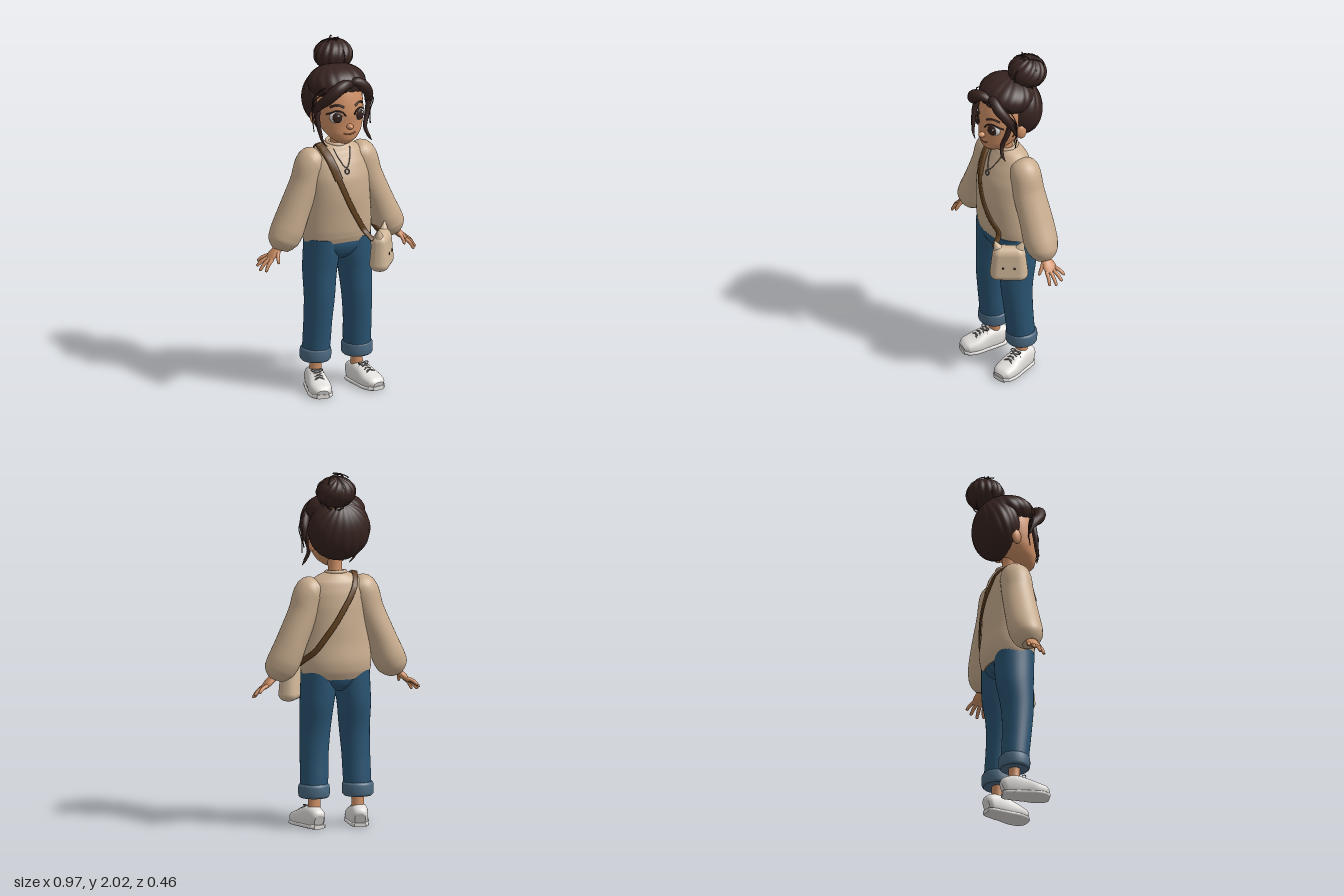
import * as THREE from 'three';
import { mergeVertices } from 'three/addons/utils/BufferGeometryUtils.js';
import { RoundedBoxGeometry } from 'three/addons/geometries/RoundedBoxGeometry.js';

const V = (x, y, z) => new THREE.Vector3(x, y, z);
const mat = (name, color) => Object.assign(new THREE.MeshStandardMaterial({ color }), { name });

// Smooth solid through stations [x, y, z, halfWidth, halfDepth]; flat keeps the rings level.
function loft(st, { n = 24, ref = V(0, 0, 1), flat = false, p = 1, sub = 5 } = {}) {
  const path = new THREE.CatmullRomCurve3(st.map(s => V(s[0], s[1], s[2])));
  const radii = new THREE.CatmullRomCurve3(st.map(s => V(s[3], s[4], 0)));
  const pw = c => Math.sign(c) * Math.abs(c) ** p;
  const pos = [], idx = [], steps = (st.length - 1) * sub;
  const rows = [[0, 0], [0, 1]];
  for (let j = 0; j <= steps; j++) rows.push([j / steps, 1]);
  rows.push([1, 1], [1, 0]);
  for (const [k, scale] of rows) {
    const c = path.getPoint(k), r = radii.getPoint(k);
    const t = flat ? V(0, Math.sign(st[st.length - 1][1] - st[0][1]), 0) : path.getTangent(k);
    const u = V().crossVectors(typeof ref === 'function' ? ref(c) : ref, t).normalize();
    const w = V().crossVectors(t, u);
    for (let i = 0; i < n; i++) {
      const a = i / n * Math.PI * 2;
      const q = c.clone().addScaledVector(u, pw(Math.cos(a)) * Math.max(r.x, 0.001) * scale)
        .addScaledVector(w, pw(Math.sin(a)) * Math.max(r.y, 0.001) * scale);
      pos.push(q.x, q.y, q.z);
    }
  }
  for (let j = 0; j < rows.length - 1; j++) for (let i = 0; i < n; i++) {
    const a = j * n + i, b = j * n + (i + 1) % n;
    idx.push(a, b, a + n, b, b + n, a + n);
  }
  const g = new THREE.BufferGeometry();
  g.setAttribute('position', new THREE.Float32BufferAttribute(pos, 3));
  g.setIndex(idx);
  g.computeVertexNormals();
  return g;
}

// Move every vertex by a rule
function warp(g, rule) {
  const a = g.attributes.position, v = V();
  for (let i = 0; i < a.count; i++) { rule(v.fromBufferAttribute(a, i)); a.setXYZ(i, v.x, v.y, v.z); }
  g.computeVertexNormals();
  return g;
}

// Ball of combed hair with strand ridges running to its pole
function hairBall(k, amp, twist, tilt, rx, ry, rz) {
  let g = new THREE.SphereGeometry(1, 96, 40);
  g.deleteAttribute('uv'); g.deleteAttribute('normal');
  g = mergeVertices(g);
  warp(g, v => v.multiplyScalar(1 + amp * (Math.abs(Math.sin(k * Math.atan2(v.z, v.x) + twist * v.y)) - 0.8)
    * Math.sqrt(Math.max(0, 1 - v.y * v.y))));
  g.rotateX(tilt).scale(rx, ry, rz);
  g.computeVertexNormals();
  return g;
}

// Point on the front (side 1) or back (side -1) of a level loft
function surf(st, x, y, side = 1, off = 0) {
  let i = 0;
  while (i < st.length - 2 && st[i + 1][1] < y) i++;
  const k = (y - st[i][1]) / (st[i + 1][1] - st[i][1]);
  const [z, a, b] = [2, 3, 4].map(m => THREE.MathUtils.lerp(st[i][m], st[i + 1][m], k));
  return V(x, y, z + side * (b * Math.sqrt(Math.max(0, 1 - (x / a) ** 2)) + off));
}

const tube = (pts, r) => new THREE.TubeGeometry(new THREE.CatmullRomCurve3(pts), 24, r, 6);
const mir = (st, s) => st.map(([x, ...r]) => [x * s, ...r]);

export function createModel() {
  const root = new THREE.Group();
  const hair = mat('dark hair', 0x36231f), skin = mat('skin', 0xcf9066), knit = mat('knit', 0xc9ad8f);
  const denim = mat('denim', 0x2a5472), cuffMat = mat('denim inside', 0x4b6981), leather = mat('leather', 0x60401f);
  const white = mat('white', 0xe2dfdc), canvas = mat('canvas', 0xd0b799), grey = mat('grey', 0x77736f), lip = mat('lips', 0xa5604b);
  const add = (name, geo, m, parent = root) => {
    const o = new THREE.Mesh(geo, m);
    o.name = name; parent.add(o);
    return o;
  };
  const ball = (name, m, p, s, parent) => {
    const o = add(name, new THREE.SphereGeometry(1, 24, 16), m, parent);
    o.position.set(...p); o.scale.set(...s);
    return o;
  };

  // Head and neck
  const head = [[0, 1.462, 0.085, 0.03, 0.035], [0, 1.49, 0.075, 0.073, 0.072], [0, 1.53, 0.055, 0.108, 0.1],
    [0, 1.58, 0.03, 0.128, 0.125], [0, 1.64, 0.02, 0.135, 0.14], [0, 1.7, 0.005, 0.136, 0.15],
    [0, 1.78, 0, 0.12, 0.134], [0, 1.84, -0.01, 0.06, 0.08]];
  add('head', loft(head, { flat: true, n: 40 }), skin);
  add('neck', loft([[0, 1.38, -0.01, 0.048, 0.045], [0, 1.45, 0, 0.039, 0.038], [0, 1.54, 0.01, 0.045, 0.045]], { flat: true }), skin);
  ball('nose', skin, [0, 1.575, 0.157], [0.019, 0.016, 0.027]);
  const onFace = (x, y, off = 0.002) => surf(head, x, y, 1, off);
  add('mouth', tube([[-0.036, 1.537], [-0.015, 1.53], [0.015, 1.53], [0.036, 1.537]].map(p => onFace(...p)), 0.0035), lip);
  for (const s of [-1, 1]) {
    ball('ear', skin, [0.14 * s, 1.6, -0.008], [0.018, 0.042, 0.03]).rotation.y = -0.3 * s;
    add('eyebrow', tube([[0.032, 1.69], [0.065, 1.703], [0.1, 1.69]].map(([x, y]) => onFace(x * s, y)), 0.006), hair);
    add('eyelash', tube([[0.026, 1.64], [0.045, 1.664], [0.075, 1.669], [0.1, 1.655], [0.116, 1.645]]
      .map(([x, y]) => onFace(x * s, y, 0.004)), 0.0045), hair);
    const eye = new THREE.Group();
    eye.name = 'eye';
    eye.position.copy(onFace(0.068 * s, 1.632, -0.009));
    eye.rotation.y = 0.38 * s;
    root.add(eye);
    ball('eyeWhite', white, [0, 0, 0], [0.042, 0.035, 0.017], eye);
    ball('iris', hair, [-0.003 * s, 0, 0.012], [0.028, 0.031, 0.009], eye);
    ball('eyeGlint', white, [0.008, 0.012, 0.019], [0.006, 0.006, 0.003], eye);
  }

  // Hair: back, crown, bun, fringe and loose strands
  add('backHair', hairBall(9, 0.035, 0, -0.5, 0.178, 0.177, 0.132), hair).position.set(0, 1.69, -0.073);
  add('crownHair', hairBall(8, 0.03, 0, -0.4, 0.166, 0.1, 0.151), hair).position.set(0, 1.79, -0.01);
  add('bun', hairBall(7, 0.09, 2.2, -0.35, 0.112, 0.089, 0.106), hair).position.set(0.035, 1.909, -0.127);
  const tie = add('hairTie', new THREE.TorusGeometry(0.058, 0.012, 8, 28), leather);
  tie.position.set(0.025, 1.84, -0.1); tie.rotation.x = Math.PI / 2 - 0.5;
  for (let i = 0; i < 7; i++) {
    const loop = add('bunStrand', new THREE.TorusGeometry(0.099, 0.0035, 5, 32, 3.6), hair);
    loop.position.set(0.035, 1.909, -0.126);
    loop.scale.set(1.07, 0.86, 1.02);
    loop.rotation.set(0.4 * Math.sin(i * 2.3), i * 0.9, i * 0.25);
  }
  const fringe = {
    rightFringe: [[0.035, 1.795, 0.115, 0.014, 0.014], [-0.015, 1.82, 0.145, 0.028, 0.03], [-0.075, 1.795, 0.155, 0.036, 0.034],
      [-0.125, 1.74, 0.13, 0.032, 0.03], [-0.16, 1.69, 0.085, 0.022, 0.026], [-0.17, 1.62, 0.06, 0.005, 0.006]],
    leftFringe: [[0.015, 1.8, 0.115, 0.014, 0.014], [0.055, 1.82, 0.125, 0.026, 0.026], [0.105, 1.785, 0.125, 0.032, 0.03],
      [0.142, 1.735, 0.1, 0.028, 0.028], [0.16, 1.68, 0.065, 0.02, 0.024], [0.165, 1.61, 0.045, 0.005, 0.006]],
    rightStrand: [[-0.155, 1.7, 0.08, 0.014, 0.018], [-0.167, 1.62, 0.09, 0.014, 0.016], [-0.157, 1.54, 0.105, 0.011, 0.012],
      [-0.145, 1.49, 0.115, 0.006, 0.007], [-0.12, 1.462, 0.12, 0.002, 0.002]],
    leftStrand: [[0.155, 1.7, 0.08, 0.014, 0.018], [0.14, 1.62, 0.09, 0.014, 0.016], [0.118, 1.54, 0.11, 0.011, 0.012],
      [0.135, 1.49, 0.12, 0.009, 0.01], [0.155, 1.46, 0.115, 0.002, 0.002]],
  };
  for (const [name, st] of Object.entries(fringe)) add(name, loft(st, { n: 14 }), hair);
  for (const s of [-1, 1]) for (let i = 0; i < 3; i++)
    add('looseWisp', tube([V(s * 0.12, 1.8 - i * 0.03, 0.09), V(s * (0.175 + i * 0.006), 1.75 - i * 0.03, 0.07),
      V(s * 0.178, 1.67 - i * 0.03, 0.05), V(s * (0.15 + i * 0.012), 1.6 - i * 0.03, 0.06)], 0.003), hair);

  // Jumper
  const torso = [[0, 0.845, -0.005, 0.185, 0.125], [0, 0.89, -0.01, 0.2, 0.14], [0, 0.95, -0.01, 0.203, 0.147],
    [0, 1.05, -0.002, 0.195, 0.145], [0, 1.15, 0.002, 0.186, 0.145], [0, 1.25, 0, 0.184, 0.136],
    [0, 1.33, -0.01, 0.175, 0.115], [0, 1.39, -0.018, 0.15, 0.09], [0, 1.42, -0.018, 0.105, 0.073], [0, 1.44, -0.015, 0.06, 0.056]];
  add('jumperBody', warp(loft(torso, { flat: true, n: 48 }), v => {
    if (v.y < 0.95 && v.z > 0) v.y += 0.035 * (1 - (v.x / 0.21) ** 2) * (0.95 - v.y) / 0.1;
  }), knit);
  const collar = add('collar', new THREE.TorusGeometry(0.054, 0.011, 10, 36), knit);
  collar.rotation.x = Math.PI / 2 + 0.1; collar.position.set(0, 1.438, -0.013);

  // Sleeves and hands
  for (const s of [-1, 1]) {
    add('sleeve', loft(mir([[0.1, 1.36, -0.02, 0.05, 0.065], [0.15, 1.335, -0.02, 0.088, 0.088], [0.19, 1.22, -0.02, 0.085, 0.092],
      [0.255, 1.07, -0.022, 0.085, 0.097], [0.3, 0.96, -0.02, 0.092, 0.098], [0.33, 0.9, -0.015, 0.087, 0.085],
      [0.343, 0.868, -0.012, 0.066, 0.064], [0.35, 0.85, -0.01, 0.044, 0.044]], s), { n: 32 }), knit);
    add('palm', loft(mir([[0.34, 0.89, -0.01, 0.028, 0.028], [0.368, 0.855, -0.01, 0.022, 0.033],
      [0.398, 0.826, -0.012, 0.018, 0.041], [0.422, 0.803, -0.012, 0.011, 0.036]], s), { n: 18 }), skin);
    const fingers = [[0.41, 0.81, 0.018, 0.456, 0.75, 0.03], [0.413, 0.812, -0.002, 0.478, 0.752, 0],
      [0.413, 0.813, -0.022, 0.479, 0.768, -0.035], [0.408, 0.818, -0.041, 0.46, 0.785, -0.066], [0.37, 0.85, 0.012, 0.39, 0.795, 0.052]];
    for (const [x, y, z, X, Y, Z] of fingers)
      add('finger', loft(mir([[x, y, z, 0.011, 0.011], [(x + X) / 2 + 0.004, (y + Y) / 2 + 0.005, (z + Z) / 2, 0.0105, 0.0105],
        [X, Y, Z, 0.008, 0.008], [X + 0.003, Y - 0.004, Z, 0.003, 0.003]], s), { n: 10, sub: 3 }), skin);
  }

  // Jeans, turn-ups and ankles
  add('hips', loft([[0, 0.93, -0.005, 0.18, 0.118], [0, 0.86, -0.005, 0.19, 0.121], [0, 0.81, -0.005, 0.15, 0.105],
    [0, 0.775, -0.005, 0.07, 0.07]], { flat: true, n: 36 }), denim);
  for (const s of [-1, 1]) {
    add('jeansLeg', loft(mir([[0.095, 0.9, -0.005, 0.1, 0.115], [0.1, 0.78, -0.006, 0.1, 0.112], [0.108, 0.7, -0.006, 0.095, 0.107],
      [0.115, 0.55, 0.006, 0.086, 0.092], [0.122, 0.4, 0, 0.08, 0.083], [0.125, 0.28, -0.01, 0.079, 0.08],
      [0.128, 0.2, -0.015, 0.076, 0.078]], s), { flat: true, n: 32 }), denim);
    add('turnUp', loft(mir([[0.128, 0.172, -0.017, 0.078, 0.078], [0.128, 0.183, -0.017, 0.087, 0.087], [0.128, 0.21, -0.017, 0.089, 0.089],
      [0.128, 0.238, -0.017, 0.087, 0.087], [0.128, 0.25, -0.016, 0.078, 0.078]], s), { flat: true, n: 32 }), cuffMat);
    add('ankle', loft(mir([[0.125, 0.2, -0.015, 0.037, 0.034], [0.127, 0.14, -0.018, 0.035, 0.031],
      [0.132, 0.07, -0.02, 0.038, 0.036]], s), { flat: true }), skin);

    // Shoes
    const shoe = new THREE.Group();
    shoe.name = 'shoe';
    shoe.position.set(0.137 * s, 0, 0); shoe.rotation.y = 0.2 * s;
    root.add(shoe);
    const last = [[0, 0.045, -0.088, 0.03, 0.035], [0, 0.052, -0.07, 0.046, 0.058], [0, 0.058, -0.02, 0.053, 0.068],
      [0, 0.05, 0.04, 0.058, 0.062], [0, 0.04, 0.1, 0.065, 0.048], [0, 0.033, 0.15, 0.057, 0.038], [0, 0.026, 0.174, 0.034, 0.022]];
    const along = { ref: V(0, 1, 0), n: 28 };
    add('shoeUpper', warp(loft(last, { ...along, p: 0.8 }), v => { v.y = Math.max(v.y, 0.004); }), white, shoe);
    add('sole', loft(last.map(([x, , z, a]) => [x, 0.012, z * 1.02, a * 1.08, 0.012]), { ...along, p: 0.5 }), white, shoe);
    for (let i = 0; i < 4; i++) {
      const z = 0.025 + i * 0.022, y = 0.12 - i * 0.0075;
      for (const d of [-1, 1]) add('lace', tube([V(-0.04, y - 0.02, z - d * 0.01), V(0, y + 0.001, z), V(0.04, y - 0.02, z + d * 0.01)], 0.004), grey, shoe);
    }
    for (const d of [-1, 1]) {
      const bow = add('laceBow', new THREE.TorusGeometry(0.016, 0.003, 6, 18), grey, shoe);
      bow.position.set(d * 0.018, 0.119, 0.032); bow.rotation.set(1.9, d * 0.35, 0);
      bow.scale.y = 0.65;
    }
  }

  // Necklace
  add('necklace', tube([[-0.05, 1.42], [-0.035, 1.37], [0, 1.318], [0.035, 1.37], [0.05, 1.42]].map(([x, y]) => surf(torso, x, y, 1, 0.007)), 0.003), grey);
  const pendant = add('pendant', new THREE.TorusGeometry(0.013, 0.004, 8, 20), grey);
  pendant.position.copy(surf(torso, 0, 1.3, 1, 0.008)); pendant.rotation.x = -0.3;

  // Shoulder strap, lying over the jumper front and back
  const ribbon = (pts, a, b) => loft(pts.map(p => [p.x, p.y, p.z, a, b]), { n: 14, p: 0.6,
    ref: p => V(p.x * 0.5, Math.max(0, p.y - 1.3) * 2, p.z + 0.01) });
  const front = [[0.105, 0.94], [0.06, 1.01], [0.01, 1.1], [-0.025, 1.18], [-0.055, 1.26], [-0.075, 1.33], [-0.09, 1.38]].map(([x, y]) => surf(torso, x, y, 1, 0.009));
  const back = [[-0.085, 1.38], [-0.055, 1.32], [-0.01, 1.25], [0.04, 1.17], [0.095, 1.09], [0.15, 1.01]].map(([x, y]) => surf(torso, x, y, -1, 0.009));
  const top = V(-0.105, 1.432, -0.016);
  add('strap', ribbon([V(0.135, 0.89, 0.175), ...front, top, ...back, V(0.205, 0.95, -0.05), V(0.24, 0.89, 0.03)], 0.016, 0.006), leather);
  add('strapPad', ribbon([...front.slice(4), top], 0.023, 0.011), leather);

  // Bag with two pointed ears and dot eyes
  const bag = new THREE.Group();
  bag.name = 'bag';
  bag.position.set(0.21, 0.81, 0.13); bag.rotation.y = 0.9;
  root.add(bag);
  add('bagBody', warp(mergeVertices(new RoundedBoxGeometry(0.2, 0.215, 0.1, 6, 0.045)), v => {
    v.x *= 1 - v.y * 1.1; v.z *= 1 - v.y * 1.5;
  }), canvas, bag);
  for (const s of [-1, 1]) {
    add('bagEar', loft([[0.055 * s, 0.08, 0, 0.034, 0.03], [0.068 * s, 0.11, 0, 0.02, 0.018], [0.08 * s, 0.142, 0, 0.003, 0.003]], { n: 14 }), canvas, bag);
    ball('bagEye', hair, [0.032 * s, -0.01, 0.051], [0.006, 0.008, 0.004], bag);
  }
  return root;
}
